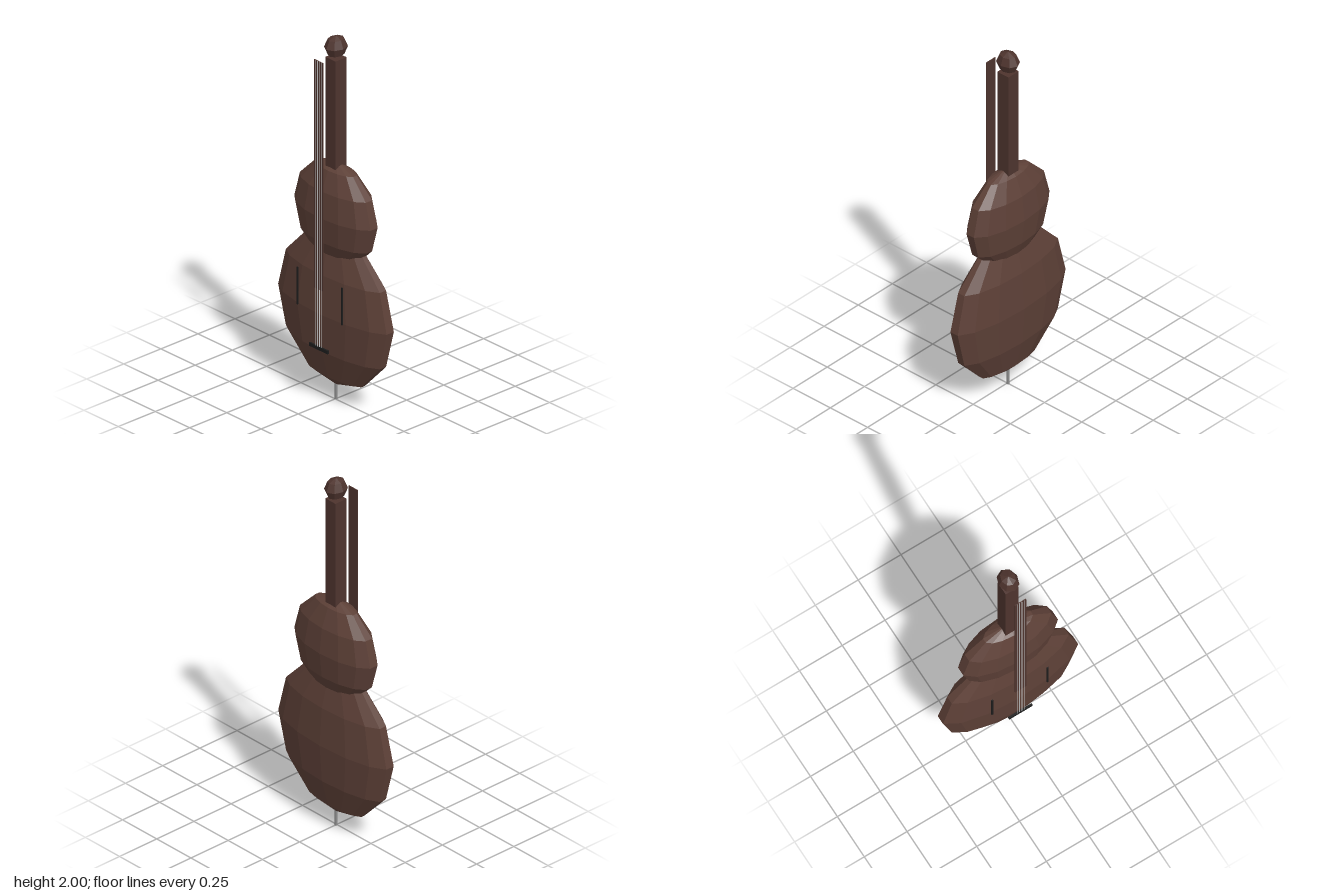
import * as THREE from 'three';

export function createModel() {
  const model = new THREE.Group();
  const paint = (color) => new THREE.MeshStandardMaterial({ color, flatShading: true });
  const bodyWood = paint(0x5d4037);
  const neckWood = paint(0x4e342e);
  const ebony = paint(0x1c1c1c);
  const steel = paint(0xcccccc);
  const pinMetal = paint(0x888888);
  const midZ = -0.005; // depth of the body's centre plane

  function add(name, geometry, material, x, y, z) {
    const mesh = new THREE.Mesh(geometry, material);
    mesh.name = name;
    mesh.position.set(x, y, z);
    model.add(mesh);
    return mesh;
  }
  const box = (w, h, d) => new THREE.BoxGeometry(w, h, d);
  // faceted ellipsoid with a column of vertices on the front and back centre lines
  const ellipsoid = (rx, ry, rz, around, rows) =>
    new THREE.SphereGeometry(1, around, rows).rotateY(Math.PI / 2).scale(rx, ry, rz);

  // two overlapping bouts form the body
  add('lowerBody', ellipsoid(0.405, 0.42, 0.11, 14, 6), bodyWood, 0, 0.5, midZ);
  add('upperBody', ellipsoid(0.284, 0.28, 0.11, 14, 6), bodyWood, 0, 1.03, midZ);

  // neck, head and fingerboard
  add('neck', box(0.075, 0.63, 0.075), neckWood, 0, 1.565, midZ);
  add('head', ellipsoid(0.053, 0.06, 0.065, 8, 4), neckWood, 0, 1.94, midZ);
  add('fingerboard', box(0.065, 1.255, 0.005), neckWood, 0, 1.2675, 0.1105);

  // strings run from the bridge to the top of the fingerboard
  for (let i = 0; i < 4; i++) {
    const string = new THREE.CylinderGeometry(0.002, 0.002, 1.58, 6);
    add('string', string, steel, (i - 1.5) * 0.0135, 1.105, 0.113);
  }
  add('bridge', box(0.136, 0.018, 0.01), ebony, 0, 0.316, 0.11);

  // sound slots
  for (const side of [-1, 1]) {
    add('soundSlot', box(0.009, 0.205, 0.005), ebony, side * 0.162, 0.602, 0.106);
  }

  // floor spike
  add('endPin', new THREE.CylinderGeometry(0.008, 0.008, 0.12, 8), pinMetal, 0, 0.06, midZ);

  return model;
}
